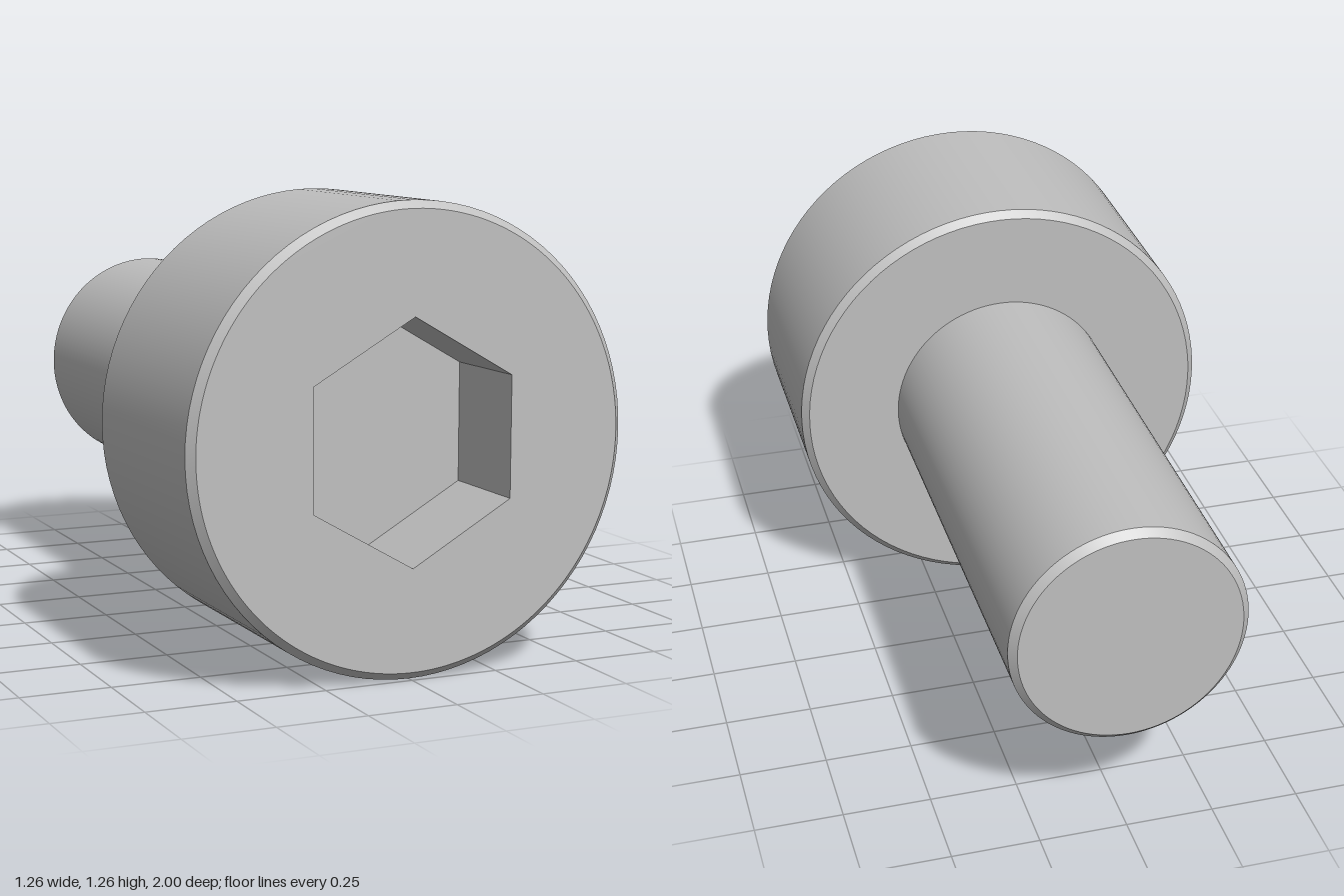
import * as THREE from 'three';
import { toCreasedNormals } from 'three/addons/utils/BufferGeometryUtils.js';

const SEGMENTS = 96;
const HEAD_R = 0.631, SHANK_R = 0.333, HEX_R = 0.331;
const FRONT = 1, SEAT = 0.335, TIP = -1, FLOOR = 0.71;
const CHAMFER = 0.021;

// Revolve [radius, z] pairs about the z axis, keeping hard edges
function revolve(profile, segments) {
  const points = profile.map(([r, z]) => new THREE.Vector2(r, z));
  const geometry = new THREE.LatheGeometry(points, segments);
  geometry.rotateX(Math.PI / 2);
  return toCreasedNormals(geometry, 0.4);
}

export function createModel() {
  const steel = new THREE.MeshStandardMaterial({ color: 0xbfbfbf });
  steel.name = 'steel grey';

  const screw = new THREE.Group();
  screw.name = 'socketHeadScrew';
  const add = (name, geometry) => {
    const mesh = new THREE.Mesh(geometry, steel);
    mesh.name = name;
    screw.add(mesh);
  };

  // Chamfered head: underside and side wall
  add('head', revolve([
    [SHANK_R, SEAT],
    [HEAD_R - CHAMFER, SEAT],
    [HEAD_R, SEAT + CHAMFER],
    [HEAD_R, FRONT - CHAMFER],
    [HEAD_R - CHAMFER, FRONT],
  ], SEGMENTS));

  // Flat front face with a hexagonal opening
  const face = new THREE.Shape();
  face.absarc(0, 0, HEAD_R - CHAMFER, 0, Math.PI * 2, false);
  const corners = Array.from({ length: 6 }, (_, i) => {
    const a = Math.PI / 2 - i * Math.PI / 3;
    return new THREE.Vector2(HEX_R * Math.cos(a), HEX_R * Math.sin(a));
  });
  face.holes.push(new THREE.Path(corners));
  const faceGeometry = new THREE.ShapeGeometry(face, SEGMENTS);
  faceGeometry.translate(0, 0, FRONT);
  add('headFace', faceGeometry);

  // Hex recess: inward-facing walls and floor
  add('hexSocket', revolve([
    [HEX_R, FRONT],
    [HEX_R, FLOOR],
    [0, FLOOR],
  ], 6));

  // Plain shank with a chamfered tip
  add('shank', revolve([
    [0, TIP],
    [SHANK_R - CHAMFER, TIP],
    [SHANK_R, TIP + CHAMFER],
    [SHANK_R, SEAT],
  ], SEGMENTS));

  // Rest the head rim on the ground
  screw.position.y = HEAD_R;
  return screw;
}
